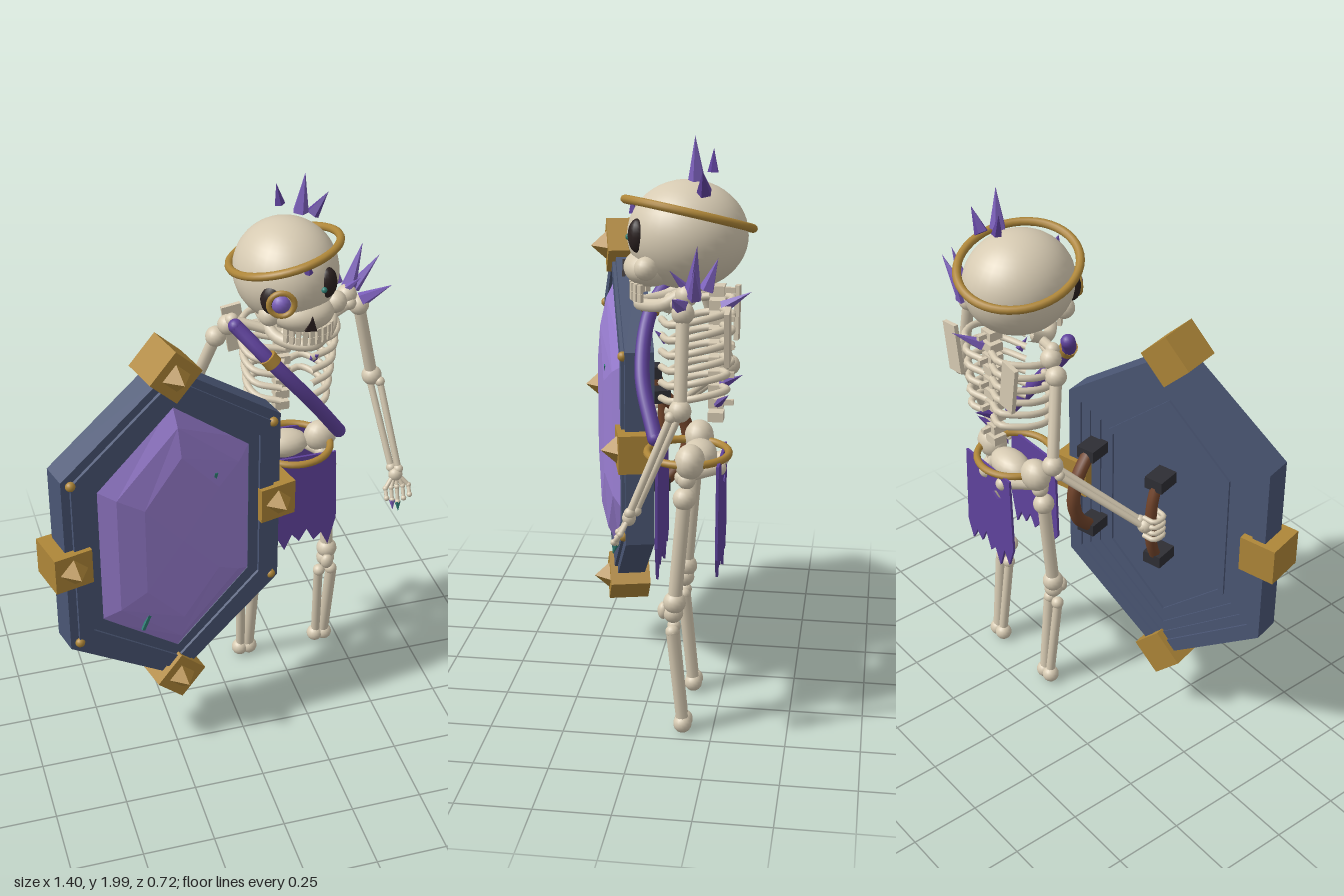
import * as THREE from 'three';

const mat = (name, color) => Object.assign(new THREE.MeshStandardMaterial({ color }), { name });
const V = (x, y, z) => new THREE.Vector3(x, y, z);

export function createModel() {
  const bone = mat('bone', 0xd6cab2), gold = mat('gold', 0xae8638), steel = mat('blue steel', 0x4a5674);
  const dark = mat('socket dark', 0x2a201f), gem = mat('violet gem', 0x9a7ed2), cloth = mat('purple cloth', 0x5f429c);
  const crystal = mat('crystal', 0x7c60bc), leather = mat('leather', 0x70432a), teal = mat('teal', 0x2f7f74);
  const iron = mat('iron', 0x2e2e34);
  const root = new THREE.Group();
  root.name = 'skeletonShieldBearer';
  const group = (name, parent = root) => {
    const g = new THREE.Group();
    g.name = name;
    parent.add(g);
    return g;
  };
  const add = (parent, name, geo, m, x = 0, y = 0, z = 0) => {
    const o = new THREE.Mesh(geo, m);
    o.name = name;
    o.position.set(x, y, z);
    parent.add(o);
    return o;
  };
  const flat = (geo) => {
    const g = geo.index ? geo.toNonIndexed() : geo;
    g.computeVertexNormals();
    return g;
  };
  const ball = (p, name, m, x, y, z, rx, ry = rx, rz = rx) => {
    const o = add(p, name, new THREE.SphereGeometry(1, rx > 0.1 ? 32 : 16, rx > 0.1 ? 24 : 12), m, x, y, z);
    o.scale.set(rx, ry, rz);
    return o;
  };
  const box = (p, name, m, x, y, z, w, h, d) => add(p, name, new THREE.BoxGeometry(w, h, d), m, x, y, z);
  const between = (o, a, b) => {
    o.position.copy(a).lerp(b, 0.5);
    o.quaternion.setFromUnitVectors(V(0, 1, 0), b.clone().sub(a).normalize());
    return o;
  };
  const rod = (p, name, m, a, b, r0, r1 = r0) =>
    between(add(p, name, new THREE.CylinderGeometry(r1, r0, a.distanceTo(b), 10), m), a, b);
  const spike = (p, a, b, r, m = crystal) =>
    between(add(p, 'crystalSpike', flat(new THREE.ConeGeometry(r, a.distanceTo(b), 5)), m), a, b);
  const tube = (p, name, m, pts, r, n = 24) =>
    add(p, name, new THREE.TubeGeometry(new THREE.CatmullRomCurve3(pts), n, r, 10), m);
  const longBone = (p, name, a, b, r, knob) => {
    rod(p, name, bone, a, b, r);
    for (const e of [a, b]) ball(p, name + 'Knob', bone, e.x, e.y, e.z, knob);
  };
  const pairBones = (p, name, a, b, off, r) => {
    for (const s of [-1, 1]) {
      const o = off.clone().multiplyScalar(s);
      longBone(p, name, a.clone().add(o), b.clone().addScaledVector(o, 0.7), r, r * 1.5);
    }
  };
  const cx = 0.275;

  // Skull with muzzle, sockets, jeweled eye, teeth and jaw
  const head = group('head');
  ball(head, 'cranium', bone, 0.25, 1.67, -0.135, 0.178, 0.175, 0.195);
  ball(head, 'muzzle', bone, 0.275, 1.567, -0.02, 0.108, 0.062, 0.088);
  for (const [x, y, z] of [[0.39, 1.585, -0.02], [0.16, 1.57, -0.02]]) ball(head, 'cheek', bone, x, y, z, 0.038);
  ball(head, 'leftSocket', dark, 0.345, 1.68, 0.012, 0.036, 0.055, 0.032).rotation.y = 0.4;
  ball(head, 'rightSocket', dark, 0.16, 1.645, 0.012, 0.042, 0.055, 0.032).rotation.y = -0.4;
  ball(head, 'leftPupil', teal, 0.325, 1.672, 0.045, 0.01);
  ball(head, 'eyeJewel', crystal, 0.18, 1.64, 0.035, 0.034);
  add(head, 'eyeRing', new THREE.TorusGeometry(0.042, 0.01, 8, 24), gold, 0.18, 1.64, 0.045).rotation.y = -0.25;
  const nose = new THREE.Shape([[-0.022, -0.022], [0.02, -0.026], [0.004, 0.028]].map((q) => new THREE.Vector2(...q)));
  add(head, 'nose', new THREE.ExtrudeGeometry(nose, { depth: 0.009, bevelEnabled: false }), dark, 0.277, 1.562, 0.062);
  spike(head, V(0.27, 1.74, 0.035), V(0.27, 1.775, 0.045), 0.018, cloth);
  for (const y of [1.513, 1.484])
    for (let i = -4; i <= 4; i++) {
      const t = i * 0.24;
      box(head, 'tooth', bone, 0.29 + 0.095 * Math.sin(t), y, -0.05 + 0.09 * Math.cos(t), 0.016, 0.028, 0.014).rotation.y = t;
    }
  tube(head, 'jaw', bone, [V(0.405, 1.53, -0.16), V(0.4, 1.475, -0.08), V(0.3, 1.452, 0.015), V(0.2, 1.455, -0.06), V(0.17, 1.51, -0.16)], 0.021);

  // Tilted crown band and crystals over it
  const crown = add(head, 'crownBand', new THREE.TorusGeometry(0.19, 0.014, 10, 48).rotateX(Math.PI / 2).scale(1, 1, 1.1), gold, 0.245, 1.735, -0.138);
  crown.rotation.set(-0.2, 0, 0.23);
  spike(head, V(0.25, 1.87, -0.215), V(0.237, 1.945, -0.215), 0.019, cloth);
  spike(head, V(0.308, 1.855, -0.17), V(0.32, 1.995, -0.165), 0.028);
  spike(head, V(0.36, 1.825, -0.2), V(0.415, 1.9, -0.2), 0.025, cloth);

  // Spine, ribs and shoulder blades
  const torso = group('torso');
  for (let i = 0; i < 10; i++) {
    const y = 1.075 + i * 0.047;
    box(torso, 'vertebra', bone, cx, y, -0.235, 0.052, 0.032, 0.05);
    if (i % 2) box(torso, 'vertebraSpur', bone, cx, y, -0.272, 0.014, 0.018, 0.04);
  }
  for (let i = 0; i < 6; i++)
    for (const s of [-1, 1]) {
      const y = 1.44 - i * 0.052, w = 0.172 - 0.006 * i;
      const x = (k) => cx + s * w * k;
      tube(torso, 'rib', bone, [V(x(0.12), y, -0.255), V(x(0.6), y + 0.008, -0.275), V(x(0.98), y - 0.005, -0.19),
        V(x(0.88), y - 0.025, -0.105), V(x(0.25 + i * 0.03), y - 0.035, -0.06)], 0.012, 18);
    }
  for (const s of [-1, 1]) {
    box(torso, 'shoulderBlade', bone, cx + s * 0.16, 1.385, -0.285, 0.07, 0.18, 0.016).rotation.z = -s * 0.15;
    longBone(torso, 'collarBone', V(cx + s * 0.04, 1.45, -0.08), V(cx + s * 0.21, 1.5, -0.14), 0.017, 0.024);
  }
  spike(torso, V(0.3, 1.45, -0.26), V(0.34, 1.51, -0.35), 0.022);
  spike(torso, V(0.28, 1.18, -0.25), V(0.27, 1.215, -0.32), 0.02, cloth);
  spike(torso, V(0.29, 1.12, -0.24), V(0.32, 1.16, -0.28), 0.018, cloth);
  spike(torso, V(0.34, 1.34, -0.08), V(0.345, 1.375, -0.04), 0.016, cloth);

  // Chest sash
  tube(torso, 'sash', cloth, [V(0.06, 1.51, -0.08), V(0.16, 1.4, -0.005), V(0.31, 1.22, 0.005), V(0.435, 1.04, -0.055)], 0.025);
  ball(torso, 'sashEnd', cloth, 0.435, 1.04, -0.055, 0.025);
  ball(torso, 'sashEnd', cloth, 0.06, 1.51, -0.08, 0.025);
  between(add(torso, 'sashRing', new THREE.CylinderGeometry(0.031, 0.031, 0.035, 16), gold), V(0.148, 1.42, -0.008), V(0.175, 1.385, 0));

  // Pelvis, belt and torn cloth
  const hips = group('hips');
  ball(hips, 'sacrum', bone, cx, 0.935, -0.18, 0.09, 0.05, 0.06);
  for (const s of [-1, 1]) {
    ball(hips, 'hipBone', bone, cx + s * 0.13, 0.955, -0.165, 0.06, 0.058, 0.05);
    longBone(hips, 'pelvisWing', V(cx + s * 0.05, 0.91, -0.25), V(cx + s * 0.13, 0.9, -0.14), 0.02, 0.026);
  }
  add(hips, 'belt', new THREE.TorusGeometry(0.135, 0.013, 10, 40).rotateX(Math.PI / 2), gold, 0.295, 0.95, -0.145);
  const rag = (name, z, edge, hole) => {
    const n = edge.length - 1;
    const s = new THREE.Shape([new THREE.Vector2(-0.13, 0.95), ...edge.map((y, i) => new THREE.Vector2(-0.14 + (0.28 * i) / n, y)), new THREE.Vector2(0.13, 0.95)]);
    if (hole) s.holes.push(new THREE.Path([[-0.08, 0.85], [-0.05, 0.87], [-0.02, 0.85], [-0.05, 0.835]].map((q) => new THREE.Vector2(...q))));
    add(hips, name, new THREE.ExtrudeGeometry(s, { depth: 0.009, bevelEnabled: false }), cloth, 0.3, 0, z);
  };
  rag('frontCloth', -0.064, [0.62, 0.585, 0.6, 0.545, 0.61, 0.575, 0.625, 0.57, 0.6, 0.54, 0.66]);
  rag('backCloth', -0.262, [0.65, 0.57, 0.62, 0.535, 0.6, 0.57, 0.64, 0.58, 0.61, 0.56, 0.63], true);

  // Legs
  for (const s of [-1, 1]) {
    const leg = group(s > 0 ? 'leftLeg' : 'rightLeg');
    const x = cx + s * 0.153;
    longBone(leg, 'thighBone', V(x, 0.835, -0.15), V(x + s * 0.005, 0.47, -0.12), 0.024, 0.038);
    ball(leg, 'thighHead', bone, cx + s * 0.14, 0.895, -0.155, 0.03);
    ball(leg, 'knee', bone, x, 0.43, -0.115, 0.034);
    ball(leg, 'kneeCap', bone, x - 0.005, 0.435, -0.082, 0.024, 0.03, 0.02);
    rod(leg, 'shinBone', bone, V(x - 0.026, 0.375, -0.115), V(x - 0.015, 0.035, -0.15), 0.017);
    rod(leg, 'calfBone', bone, V(x + 0.026, 0.375, -0.115), V(x + 0.015, 0.035, -0.15), 0.021);
    for (const o of [-0.018, 0.018]) {
      ball(leg, 'ankle', bone, x + o, 0.032, -0.15, 0.031);
      ball(leg, 'shinTop', bone, x + o * 1.3, 0.372, -0.115, 0.023);
    }
  }

  // Left arm hanging, with crystal-tipped fingers
  const arm = group('leftArm');
  longBone(arm, 'upperArm', V(0.525, 1.48, -0.155), V(0.588, 1.185, -0.155), 0.021, 0.036);
  ball(arm, 'shoulder', bone, 0.48, 1.525, -0.16, 0.036);
  pairBones(arm, 'forearm', V(0.595, 1.17, -0.14), V(0.642, 0.865, -0.015), V(0.015, 0, 0.012), 0.012);
  ball(arm, 'wrist', bone, 0.642, 0.845, -0.003, 0.026, 0.026, 0.022);
  for (let i = 0; i < 5; i++) {
    const x = 0.598 + i * 0.022, end = V(x - 0.002, 0.755 + 0.011 * Math.abs(i - 2), 0.04);
    const mid = V(x, 0.805, 0.018);
    rod(arm, 'palmBone', bone, V(0.63 + i * 0.006, 0.84, 0), mid, 0.008);
    longBone(arm, 'finger', mid, end, 0.007, 0.01);
    if (i === 1 || i === 2) spike(arm, end, V(end.x, end.y - 0.038, end.z + 0.01), 0.012, i === 1 ? crystal : teal);
  }
  for (const [a, b, r] of [[V(0.49, 1.53, -0.18), V(0.545, 1.695, -0.2), 0.03], [V(0.46, 1.54, -0.22), V(0.455, 1.64, -0.255), 0.026],
    [V(0.53, 1.5, -0.15), V(0.635, 1.55, -0.135), 0.028], [V(0.515, 1.53, -0.19), V(0.61, 1.64, -0.2), 0.024], [V(0.47, 1.53, -0.17), V(0.51, 1.61, -0.11), 0.02]])
    spike(arm, a, b, r);

  // Right arm reaching back and forward to the grip
  const arm2 = group('rightArm');
  ball(arm2, 'shoulder', bone, 0.055, 1.475, -0.155, 0.036);
  longBone(arm2, 'upperArm', V(0.015, 1.43, -0.165), V(-0.065, 1.15, -0.245), 0.021, 0.036);
  pairBones(arm2, 'forearm', V(-0.075, 1.13, -0.235), V(-0.262, 0.92, -0.02), V(0.014, 0.012, 0), 0.012);
  ball(arm2, 'wrist', bone, -0.268, 0.91, -0.01, 0.028);
  for (let i = 0; i < 4; i++) {
    const y = 0.94 - i * 0.025;
    tube(arm2, 'finger', bone, [V(-0.262, y, -0.012), V(-0.305, y, 0.0), V(-0.3, y, 0.045), V(-0.25, y, 0.05)], 0.009, 12);
  }

  // Shield: six-sided layers inset by d, with the local +z as its face
  const shield = group('shield');
  shield.position.set(-0.236, 0.9, 0.14);
  shield.rotation.y = 0.245;
  const hex = (d) => {
    const w = 0.41 - d, s = 0.345 - 0.65 * d, h = 0.645 - 1.15 * d;
    return [[0, h], [-w, s], [-w, -s], [0, -h], [w, -s], [w, s]].map((q) => new THREE.Vector2(...q));
  };
  const layer = (name, d, hole, z0, z1) => {
    const s = new THREE.Shape(hex(d));
    if (hole) s.holes.push(new THREE.Path(hex(hole)));
    add(shield, name, new THREE.ExtrudeGeometry(s, { depth: z1 - z0, bevelEnabled: false }), steel, 0, 0, z0);
  };
  layer('outerRim', 0, 0.05, -0.054, 0.045);
  layer('raisedBorder', 0.03, 0.085, -0.046, 0.056);
  layer('innerBorder', 0.08, 0.125, -0.04, 0.046);
  layer('backPlate', 0.1, 0, -0.034, 0.02);
  layer('backStep', 0.16, 0.18, -0.042, -0.03);

  // Faceted gem built from inset rings
  const rings = [[0.11, 0.035], [0.18, 0.075], [0.27, 0.098], [0.4, 0.102]].map(([d, z]) => {
    const k = d === 0.4 ? 0 : 1;
    return hex(d).map((p) => V(p.x * k, p.y * k, z));
  });
  const tris = [];
  for (let r = 0; r < 3; r++)
    for (let i = 0; i < 6; i++) {
      const j = (i + 1) % 6, [a, b, c, d] = [rings[r][i], rings[r][j], rings[r + 1][j], rings[r + 1][i]];
      tris.push(a, b, c);
      if (r < 2) tris.push(a, c, d);
    }
  add(shield, 'gem', flat(new THREE.BufferGeometry().setFromPoints(tris)), gem);
  box(shield, 'gemCrack', teal, -0.13, -0.3, 0.078, 0.012, 0.1, 0.009).rotation.z = -0.45;
  box(shield, 'gemChip', teal, 0.13, 0.215, 0.09, 0.012, 0.022, 0.009).rotation.z = -0.3;

  // Gold corner blocks with pyramid studs, and rivets
  for (const [x, y, r] of [[0, 0.625, Math.PI / 4], [0, -0.63, Math.PI / 4], [0.392, 0, 0], [-0.392, 0, 0]]) {
    box(shield, 'cornerBlock', gold, x, y, 0, 0.135, 0.135, 0.145).rotation.z = r;
    add(shield, 'cornerStud', flat(new THREE.ConeGeometry(0.05, 0.055, 4).rotateX(Math.PI / 2)), gold, x, y, 0.1);
  }
  for (const x of [-0.378, 0.378]) for (const y of [-0.325, 0.325]) ball(shield, 'rivet', gold, x, y, 0.05, 0.017);

  // Grip and arm strap on the back
  for (const [x, bulge, r, name] of [[0, 0.03, 0.02, 'grip'], [0.29, 0.085, 0.024, 'armStrap']]) {
    for (const y of [-0.16, 0.16]) box(shield, name + 'Bracket', iron, x, y, -0.075, 0.07, 0.045, 0.09);
    tube(shield, name, leather, [V(x, -0.16, -0.095), V(x, -0.09, -0.1 - bulge * 0.7), V(x, 0, -0.1 - bulge), V(x, 0.09, -0.1 - bulge * 0.7), V(x, 0.16, -0.095)], r);
  }
  return root;
}
